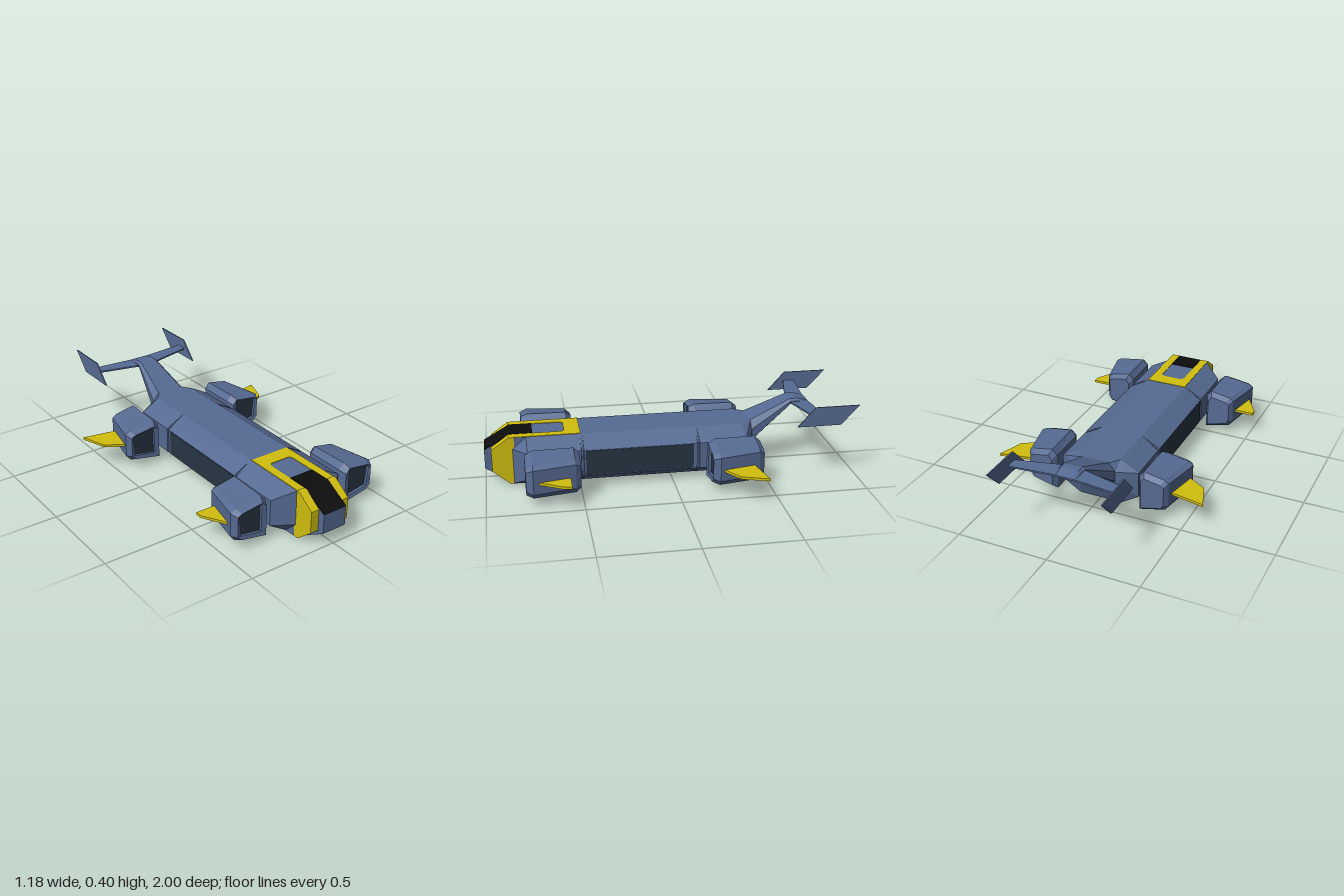
import * as THREE from 'three';

const mat = (name, color, extra = {}) => {
  const m = new THREE.MeshStandardMaterial({ color, ...extra });
  m.name = name;
  return m;
};

export function createModel() {
  const root = new THREE.Group();
  root.name = 'shuttle';
  const blue = mat('slate blue hull', 0x566a92, { flatShading: true });
  const yellow = mat('yellow trim', 0xd0be0e, { flatShading: true });
  const dark = mat('dark panel', 0x273542, { flatShading: true });
  const black = mat('black canopy', 0x0d0d0d, { flatShading: true });

  const add = (parent, name, geo, material) => {
    const m = new THREE.Mesh(geo, material);
    m.name = name;
    parent.add(m);
    return m;
  };

  // Skin through sections running front to back, each counter-clockwise seen from +z
  function loft(sections, capFront = true, capBack = true) {
    const pos = [], n = sections[0].length;
    const tri = (...p) => p.forEach(v => pos.push(...v));
    for (let i = 0; i < sections.length - 1; i++) {
      const s = sections[i], t = sections[i + 1];
      for (let j = 0; j < n; j++) {
        const k = (j + 1) % n;
        tri(s[j], t[j], t[k]);
        tri(s[j], t[k], s[k]);
      }
    }
    const f = sections[0], b = sections[sections.length - 1];
    for (let j = 1; j < n - 1; j++) {
      if (capFront) tri(f[0], f[j], f[j + 1]);
      if (capBack) tri(b[0], b[j + 1], b[j]);
    }
    const g = new THREE.BufferGeometry();
    g.setAttribute('position', new THREE.Float32BufferAttribute(pos, 3));
    g.computeVertexNormals();
    return g;
  }

  const shapeOf = pts => new THREE.Shape(pts.map(p => new THREE.Vector2(...p)));
  // Horizontal plate from [x, z] points
  const plate = (pts, top, t) =>
    new THREE.ExtrudeGeometry(shapeOf(pts), { depth: t, bevelEnabled: false })
      .rotateX(Math.PI / 2).translate(0, top, 0);
  // Upright slab from [z, y] points, centred on x
  const slab = (pts, x, w) =>
    new THREE.ExtrudeGeometry(shapeOf(pts), { depth: w, bevelEnabled: false })
      .translate(0, 0, -w / 2).rotateY(-Math.PI / 2).translate(x, 0, 0);

  // Symmetric eight-sided section: bottom, lower side, upper side, top
  const oct = (z, wb, yb, wl, yl, wu, yu, wt, yt) => [
    [-wb, yb, z], [wb, yb, z], [wl, yl, z], [wu, yu, z],
    [wt, yt, z], [-wt, yt, z], [-wu, yu, z], [-wl, yl, z]];
  const body = (z, inset = 0) =>
    oct(z, 0.12, 0, 0.221 - inset, 0.063, 0.221 - inset, 0.208, 0.118, 0.265);

  // Hull with two narrow grooves and tapered ends
  add(root, 'hull', loft([
    oct(0.85, 0.116, 0, 0.117, 0.07, 0.117, 0.2, 0.116, 0.265),
    body(0.775),
    body(0.492), body(0.49, 0.014), body(0.48, 0.014), body(0.478),
    body(-0.132), body(-0.134, 0.014), body(-0.144, 0.014), body(-0.146),
    body(-0.4),
    oct(-0.46, 0.08, 0.135, 0.115, 0.16, 0.113, 0.22, 0.075, 0.265),
  ]), blue);

  // Nose and cheeks
  add(root, 'nose', slab([[0.84, 0], [0.87, 0], [1, 0.08], [1, 0.187], [0.86, 0.263], [0.84, 0.263]], 0, 0.14), blue);
  add(root, 'canopy', slab([[0.74, 0.262], [0.86, 0.262], [0.998, 0.186], [1, 0.19], [0.861, 0.27], [0.74, 0.27]], 0, 0.142), black);
  for (const s of [1, -1]) {
    add(root, 'noseCheek',
      slab([[0.84, 0.001], [0.87, 0.001], [0.962, 0.08], [0.962, 0.2], [0.868, 0.267], [0.84, 0.267]], s * 0.0945, 0.047), yellow);
  }

  // Deck marking with an open centre
  add(root, 'deckFrame', plate([
    [-0.116, 0.485], [0.116, 0.485], [0.116, 0.85], [0.07, 0.85], [0.07, 0.585], [0.055, 0.57],
    [-0.055, 0.57], [-0.07, 0.585], [-0.07, 0.85], [-0.116, 0.85]], 0.268, 0.006), yellow);

  // Pod: sharp-cornered intake inside a bevelled, tapering shell
  function pod(s, z0) {
    const outer = [[0.24, 0.014], [0.24, 0.014], [0.424, 0.049], [0.449, 0.078],
      [0.449, 0.21], [0.42, 0.227], [0.271, 0.249], [0.24, 0.217]];
    const mouth = [[0.284, 0.062], [0.284, 0.062], [0.408, 0.083], [0.408, 0.083],
      [0.42, 0.2], [0.42, 0.2], [0.284, 0.218], [0.284, 0.218]];
    const section = (pts, z, k = 1, taper = 1) => {
      const out = pts.map(([x, y]) => [
        s * (0.24 + (0.105 + (x - 0.345) * k) * taper), 0.135 + (y - 0.135) * k, z0 + z]);
      return s > 0 ? out : out.reverse();
    };
    const g = new THREE.Group();
    g.name = s > 0 ? 'leftPod' : 'rightPod';
    add(g, 'podShell', loft([
      section(mouth, 0.1), section(mouth, 0.137), section(outer, 0.142, 0.83),
      section(outer, 0.105), section(outer, -0.115, 1, 0.78), section(outer, -0.143, 0.78, 0.78),
    ], false), blue);
    add(g, 'podIntake', loft([section(mouth, 0.122), section(mouth, 0.118)]), dark);
    add(g, 'podStrut', new THREE.BoxGeometry(0.05, 0.05, 0.055).translate(s * 0.23, 0.135, z0), blue);
    return g;
  }

  const fins = {
    front: [[0.39, 0.565], [0.515, 0.565], [0.515, 0.6], [0.44, 0.73], [0.4, 0.73]],
    rear: [[0.39, -0.4], [0.592, -0.438], [0.543, -0.295], [0.438, -0.23], [0.4, -0.23]],
  };
  for (const s of [1, -1]) {
    for (const [end, z] of [['front', 0.652], ['rear', -0.318]]) {
      const g = pod(s, z);
      add(g, end + 'PodFin', plate(fins[end].map(([x, fz]) => [s * x, fz]), 0.142, 0.014), yellow);
      root.add(g);
    }
    // Long dark panel on the flank, framed by end ribs
    add(root, 'sidePanel', new THREE.BoxGeometry(0.006, 0.138, 0.58).translate(s * 0.221, 0.137, 0.178), dark);
  }

  // Tail boom rising to a hub
  add(root, 'tailBoom', loft([
    oct(-0.44, 0.08, 0.125, 0.114, 0.155, 0.112, 0.22, 0.075, 0.263),
    oct(-0.46, 0.08, 0.14, 0.114, 0.165, 0.112, 0.225, 0.075, 0.268),
    oct(-0.69, 0.05, 0.335, 0.062, 0.34, 0.062, 0.355, 0.048, 0.368),
    oct(-0.73, 0.05, 0.342, 0.062, 0.345, 0.062, 0.355, 0.048, 0.368),
    oct(-0.79, 0.05, 0.345, 0.06, 0.346, 0.06, 0.35, 0.048, 0.353),
  ]), blue);

  // Tail wing and its raked end fins
  add(root, 'tailWing', plate([
    [-0.06, -0.69], [0.06, -0.69], [0.305, -0.75], [0.305, -0.814],
    [0.06, -0.79], [-0.06, -0.79], [-0.305, -0.814], [-0.305, -0.75]], 0.353, 0.009), blue);
  for (const s of [1, -1]) {
    add(root, 'tailFin',
      slab([[-0.66, 0.298], [-0.9, 0.298], [-1, 0.404], [-0.757, 0.404]], s * 0.305, 0.007), blue);
  }
  return root;
}
